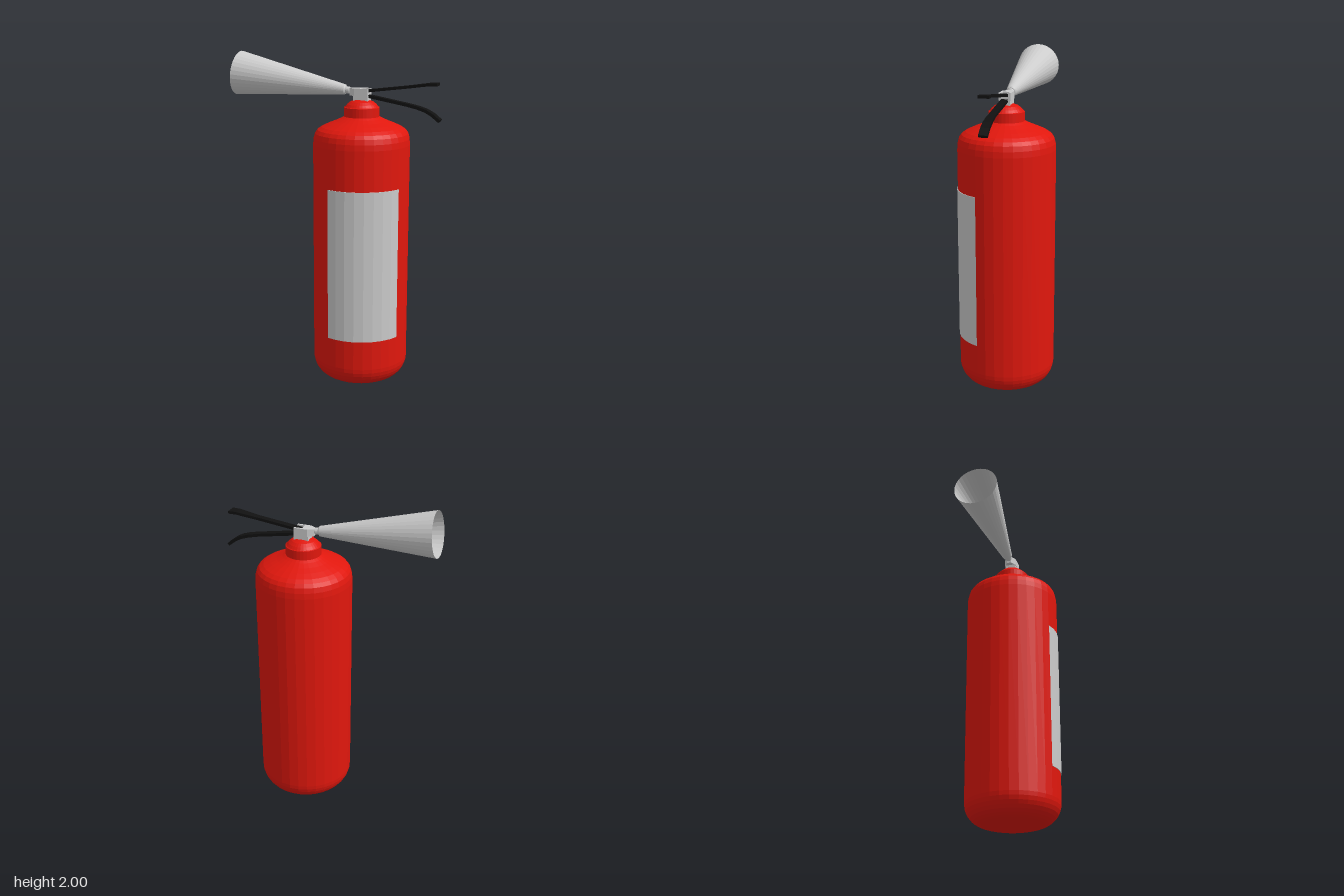
import * as THREE from 'three';

const CX = 0.163; // axis of the tank
const SIDES = 32;

const material = (color, extra = {}) =>
  new THREE.MeshStandardMaterial({ color, flatShading: true, ...extra });
const points = (list) => list.map(([r, y]) => new THREE.Vector2(r, y));

function add(group, name, geometry, mat) {
  const mesh = new THREE.Mesh(geometry, mat);
  mesh.name = name;
  group.add(mesh);
  return mesh;
}

// Flat bar swept through stations [x, y, halfWidth], with constant thickness
function leverGeometry(stations, thickness) {
  const rings = stations.map(([x, y, w], i) => {
    const a = stations[Math.max(i - 1, 0)];
    const b = stations[Math.min(i + 1, stations.length - 1)];
    const n = new THREE.Vector2(a[1] - b[1], b[0] - a[0]).setLength(thickness / 2);
    return [[1, -1], [1, 1], [-1, 1], [-1, -1]].map(([s, t]) => [x + s * n.x, y + s * n.y, t * w]);
  });
  const pos = [];
  const quad = (a, b, c, d) => pos.push(...a, ...b, ...c, ...a, ...c, ...d);
  for (let i = 0; i < rings.length - 1; i++) {
    for (let k = 0; k < 4; k++) {
      const m = (k + 1) % 4;
      quad(rings[i][k], rings[i][m], rings[i + 1][m], rings[i + 1][k]);
    }
  }
  const first = rings[0], last = rings[rings.length - 1];
  quad(first[3], first[2], first[1], first[0]);
  quad(...last);
  const geometry = new THREE.BufferGeometry();
  geometry.setAttribute('position', new THREE.Float32BufferAttribute(pos, 3));
  geometry.computeVertexNormals();
  return geometry;
}

export function createModel() {
  const model = new THREE.Group();
  model.name = 'fireExtinguisher';
  const red = material(0xe0170d);
  const black = material(0x111111);
  const grey = material(0xcccccc);
  const greyThin = material(0xcccccc, { side: THREE.DoubleSide });

  // Tank: rounded foot, straight wall, soft shoulder
  const profile = [[0, 0], [0.165, 0]];
  for (let i = 1; i <= 8; i++) {
    const a = (i / 8) * Math.PI / 2;
    profile.push([0.165 + 0.126 * Math.sin(a), 0.13 * (1 - Math.cos(a))]);
  }
  profile.push([0.291, 1.47], [0.288, 1.505], [0.28, 1.535], [0.265, 1.556], [0.24, 1.573],
    [0.2, 1.591], [0.16, 1.607], [0.125, 1.623], [0.1, 1.637], [0, 1.637]);
  add(model, 'tank', new THREE.LatheGeometry(points(profile), SIDES), red).position.x = CX;

  // Collar with domed cap
  const collar = [[0, 1.62], [0.106, 1.63], [0.106, 1.688], [0.1, 1.691], [0.088, 1.706],
    [0.07, 1.721], [0.045, 1.731], [0, 1.736]];
  add(model, 'collar', new THREE.LatheGeometry(points(collar), SIDES), red).position.x = CX;

  // Label wrapped around a quarter of the tank
  const band = [[0.29, 0.31], [0.295, 0.31], [0.295, 1.23], [0.29, 1.23]];
  add(model, 'label', new THREE.LatheGeometry(points(band), 8, -Math.PI / 8, Math.PI / 2), greyThin)
    .position.x = CX;

  // Valve head: tapered towards the horn, forked towards the levers
  const outline = new THREE.Shape(points([[0.09, -0.014], [0.125, -0.036], [0.21, -0.036],
    [0.21, -0.022], [0.16, -0.022], [0.16, 0.022], [0.21, 0.022], [0.21, 0.036],
    [0.125, 0.036], [0.09, 0.014]]));
  const head = new THREE.ExtrudeGeometry(outline, { depth: 0.044, bevelEnabled: false });
  head.rotateX(-Math.PI / 2).translate(0, 1.756, 0);
  add(model, 'valveHead', head, grey);
  const bridge = new THREE.BoxGeometry(0.05, 0.014, 0.044);
  add(model, 'valveBridge', bridge, grey).position.set(0.185, 1.77, 0);
  const stem = new THREE.BoxGeometry(0.09, 0.04, 0.066);
  add(model, 'valveStem', stem, grey).position.set(0.165, 1.74, 0);

  // Discharge horn: hollow cone with a stepped coupling on the same axis
  const horn = new THREE.Group();
  horn.name = 'horn';
  const start = new THREE.Vector3(0.063, 1.787, 0);
  const axis = new THREE.Vector3(-0.641, 1.867, 0).sub(start);
  const length = axis.length();
  horn.position.copy(start);
  horn.quaternion.setFromUnitVectors(new THREE.Vector3(0, 1, 0), axis.normalize());
  const cone = points([[0, 0], [0.024, 0], [0.031, 0.008], [0.134, length]]);
  add(horn, 'hornCone', new THREE.LatheGeometry(cone, SIDES), greyThin);
  const coupling = points([[0, -0.06], [0.013, -0.06], [0.013, -0.026], [0.021, -0.022],
    [0.021, 0.002], [0, 0.002]]);
  add(horn, 'hornCoupling', new THREE.LatheGeometry(coupling, 16), grey);
  model.add(horn);

  // Squeeze lever above, carrying handle below
  add(model, 'upperLever', leverGeometry([[0.17, 1.782, 0.02], [0.45, 1.818, 0.02],
    [0.58, 1.837, 0.03], [0.628, 1.838, 0.033]], 0.016), black);
  add(model, 'lowerHandle', leverGeometry([[0.17, 1.762, 0.02], [0.45, 1.713, 0.02],
    [0.51, 1.7, 0.023], [0.56, 1.684, 0.025], [0.6, 1.662, 0.026], [0.643, 1.628, 0.026]],
  0.018), black);

  return model;
}
